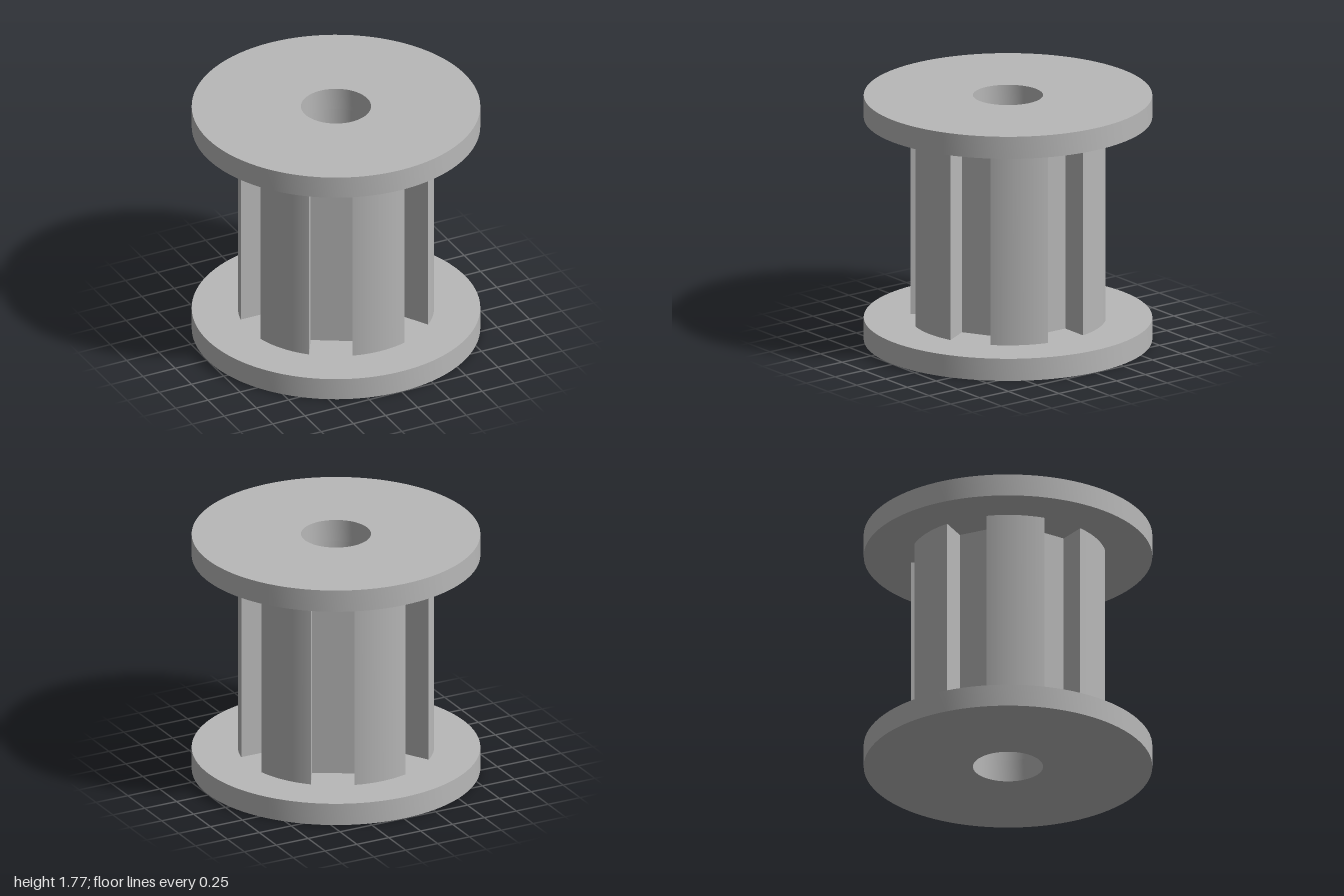
import * as THREE from 'three';
import { toCreasedNormals } from 'three/addons/utils/BufferGeometryUtils.js';

const HEIGHT = 1.767, FLANGE = 0.16, BORE = 0.243;
const TOOTH_R = 0.68, FLOOR_R = 0.46, HALF_GROOVE = 0.151, TEETH = 6;

// Extrude an outline with the central bore upwards from height y
function prism(shape, y, height, curveSegments) {
  const bore = new THREE.Path();
  bore.absarc(0, 0, BORE, 0, Math.PI * 2, true);
  shape.holes.push(bore);
  const geo = new THREE.ExtrudeGeometry(shape, { depth: height, bevelEnabled: false, curveSegments });
  geo.rotateX(-Math.PI / 2);
  geo.translate(0, y, 0);
  return toCreasedNormals(geo, 0.4);
}

function flangeShape() {
  const s = new THREE.Shape();
  s.absarc(0, 0, 1, 0, Math.PI * 2, false);
  return s;
}

// Round teeth separated by parallel-sided grooves with flat floors
function coreShape() {
  const s = new THREE.Shape();
  const step = (Math.PI * 2) / TEETH;
  const half = Math.asin(HALF_GROOVE / TOOTH_R);
  for (let i = 0; i < TEETH; i++) {
    const a = i * step, c = Math.cos(a), n = Math.sin(a);
    for (const side of [-HALF_GROOVE, HALF_GROOVE]) {
      const x = FLOOR_R * c - side * n, y = FLOOR_R * n + side * c;
      if (i === 0 && side < 0) s.moveTo(x, y);
      else s.lineTo(x, y);
    }
    s.absarc(0, 0, TOOTH_R, a + half, a + step - half, false);
  }
  s.closePath();
  return s;
}

export function createModel() {
  const group = new THREE.Group();
  group.name = 'flangedToothedSpool';
  const grey = new THREE.MeshStandardMaterial({ color: 0xb8b8b8 });
  grey.name = 'plain grey';

  const add = (name, geo) => {
    const mesh = new THREE.Mesh(geo, grey);
    mesh.name = name;
    group.add(mesh);
  };
  add('bottomFlange', prism(flangeShape(), 0, FLANGE, 48));
  add('toothedCore', prism(coreShape(), FLANGE, HEIGHT - 2 * FLANGE, 48));
  add('topFlange', prism(flangeShape(), HEIGHT - FLANGE, FLANGE, 48));
  return group;
}
